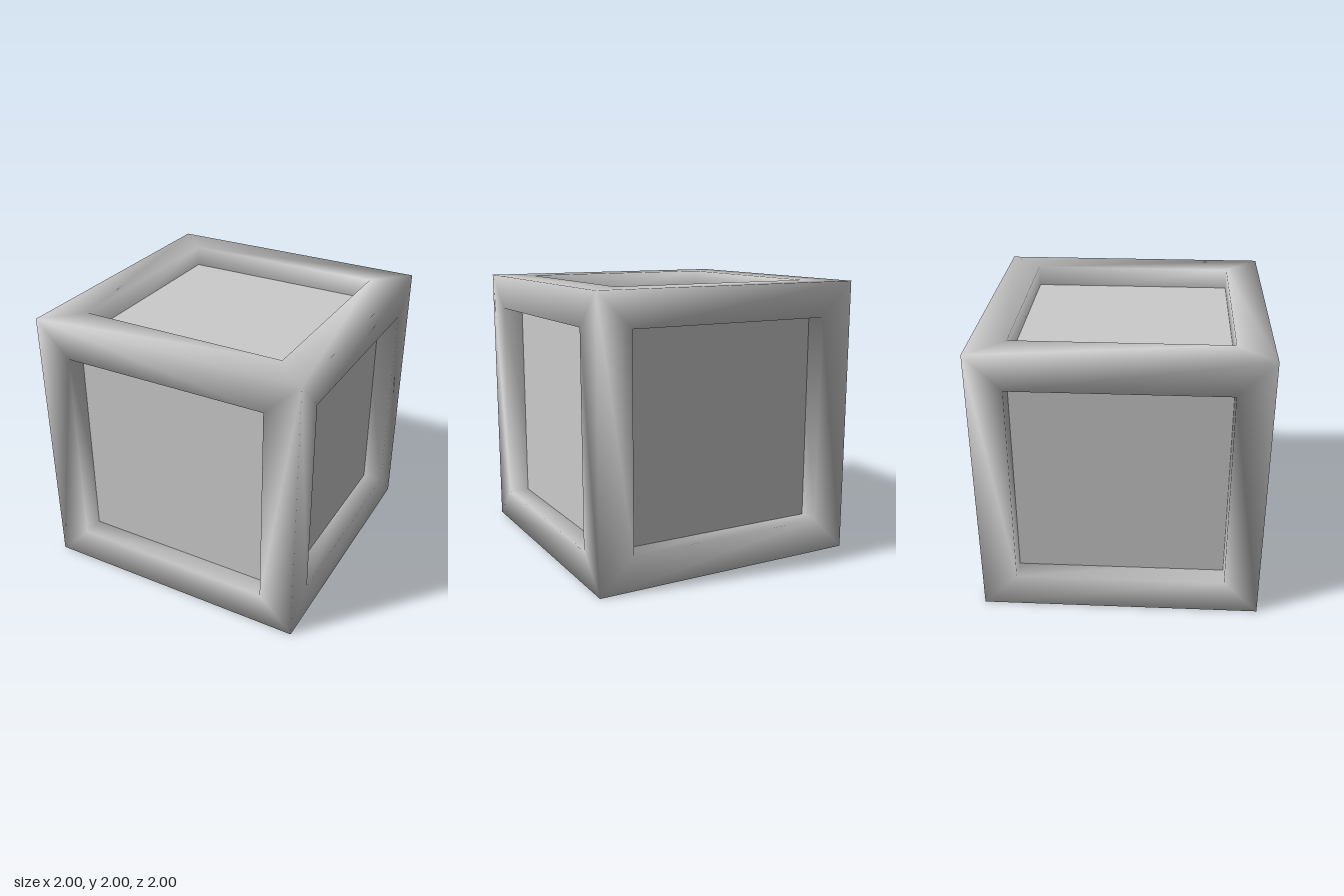
import * as THREE from 'three';
import { mergeVertices } from 'three/addons/utils/BufferGeometryUtils.js';

const INNER = 0.75;  // half width of each opening
const PANEL = 0.85;  // distance of each panel's surface from the centre

// u, v and outward normal n of each cube side; cw sets the way its bars are split
const axis = (x, y, z) => new THREE.Vector3(x, y, z);
const sides = [
  { name: 'front', u: axis(1, 0, 0), v: axis(0, 1, 0), n: axis(0, 0, 1), cw: false },
  { name: 'back', u: axis(-1, 0, 0), v: axis(0, 1, 0), n: axis(0, 0, -1), cw: true },
  { name: 'left', u: axis(0, 0, -1), v: axis(0, 1, 0), n: axis(1, 0, 0), cw: true },
  { name: 'right', u: axis(0, 0, 1), v: axis(0, 1, 0), n: axis(-1, 0, 0), cw: true },
  { name: 'top', u: axis(1, 0, 0), v: axis(0, 0, -1), n: axis(0, 1, 0), cw: true },
  { name: 'bottom', u: axis(1, 0, 0), v: axis(0, 0, 1), n: axis(0, -1, 0), cw: false },
];

// Frame of twelve square bars, with shared vertices for soft shading
function frameGeometry() {
  const positions = [];
  const triangle = (...points) => points.forEach((p) => positions.push(p.x, p.y, p.z));
  const signs = [[-1, -1], [1, -1], [1, 1], [-1, 1]];

  for (const { u, v, n, cw } of sides) {
    const ring = (half, depth) => signs.map(([a, b]) => new THREE.Vector3()
      .addScaledVector(u, a * half).addScaledVector(v, b * half).addScaledVector(n, depth));
    const outer = ring(1, 1);
    const inner = ring(INNER, 1);
    const deep = ring(INNER, INNER);

    for (let k = 0; k < 4; k++) {
      const m = (k + 1) % 4;
      // outer face of the bar
      if (cw) {
        triangle(outer[k], outer[m], inner[m]);
        triangle(outer[k], inner[m], inner[k]);
      } else {
        triangle(outer[k], outer[m], inner[k]);
        triangle(outer[m], inner[m], inner[k]);
      }
      // wall of the opening
      triangle(inner[k], inner[m], deep[m]);
      triangle(inner[k], deep[m], deep[k]);
    }
  }

  const geometry = new THREE.BufferGeometry();
  geometry.setAttribute('position', new THREE.Float32BufferAttribute(positions, 3));
  const merged = mergeVertices(geometry);
  merged.computeVertexNormals();
  return merged;
}

export function createModel() {
  const group = new THREE.Group();
  group.name = 'framedCube';
  const material = new THREE.MeshStandardMaterial({ color: 0xcccccc });

  const frame = new THREE.Mesh(frameGeometry(), material);
  frame.name = 'frame';
  frame.position.y = 1;
  group.add(frame);

  // Flat panels recessed in the six openings
  const thickness = PANEL - INNER;
  const panelGeometry = new THREE.BoxGeometry(2 * INNER, 2 * INNER, thickness);
  for (const { name, u, v, n } of sides) {
    const panel = new THREE.Mesh(panelGeometry, material);
    panel.name = `${name}Panel`;
    panel.quaternion.setFromRotationMatrix(new THREE.Matrix4().makeBasis(u, v, n));
    panel.position.copy(n).multiplyScalar(PANEL - thickness / 2);
    panel.position.y += 1;
    group.add(panel);
  }
  return group;
}
